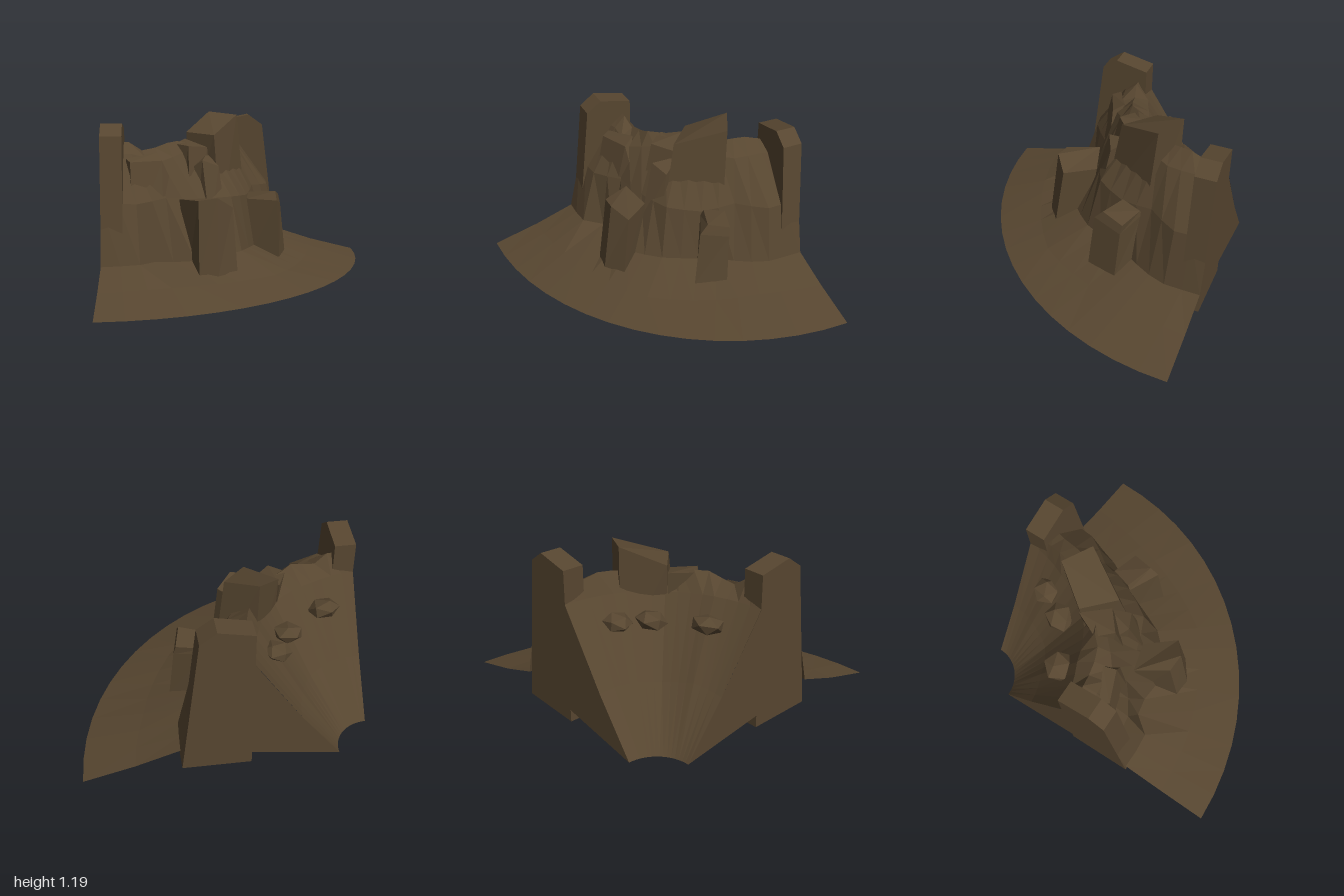
import * as THREE from 'three';

const rock = new THREE.MeshStandardMaterial({ color: 0x574630, flatShading: true, side: THREE.DoubleSide });
rock.name = 'brown rock';

const SEG = 16;

function buildGeometry(points, faces) {
  const g = new THREE.BufferGeometry();
  g.setAttribute('position', new THREE.Float32BufferAttribute(points.flat(), 3));
  g.setIndex(faces.flat());
  const flat = g.toNonIndexed();
  flat.computeVertexNormals();
  return flat;
}

// Linear lookup in a short list of values, t from 0 to 1
function sample(list, t) {
  const f = t * (list.length - 1);
  const i = Math.min(Math.floor(f), list.length - 2);
  return list[i] + (list[i + 1] - list[i]) * (f - i);
}

// Quarter-turn surface around the corner (-1, -1); each ring is [radii, heights] along the arc
function quarterSurface(rings) {
  const points = [], faces = [];
  for (const [radii, heights] of rings) {
    for (let j = 0; j <= SEG; j++) {
      const t = j / SEG, a = t * Math.PI / 2, r = sample(radii, t);
      points.push([-1 + r * Math.cos(a), sample(heights, t), -1 + r * Math.sin(a)]);
    }
  }
  const w = SEG + 1;
  for (let i = 0; i < rings.length - 1; i++) {
    for (let j = 0; j < SEG; j++) {
      const a = i * w + j, b = a + w;
      faces.push([a, a + 1, b], [a + 1, b + 1, b]);
    }
  }
  return buildGeometry(points, faces);
}

// Stone column, open underneath, through rings of [x, y, z] corners from the top down
function column(...rings) {
  const n = rings[0].length, last = (rings.length - 1) * n;
  const faces = [];
  for (let i = 0; i < n; i++) {
    const j = (i + 1) % n;
    for (let k = 0; k < last; k += n) {
      faces.push([k + i, k + i + n, k + j], [k + j, k + i + n, k + j + n]);
    }
    if (i > 0 && i < n - 1) faces.push([0, i, i + 1]);
  }
  return buildGeometry(rings.flat(), faces);
}

// Level ring of [x, z] corners at height y
const level = (y, corners) => corners.map(([x, z]) => [x, y, z]);

export function createModel() {
  const group = new THREE.Group();
  const add = (name, geometry) => {
    const mesh = new THREE.Mesh(geometry, rock);
    mesh.name = name;
    group.add(mesh);
    return mesh;
  };

  // Rings shared by neighbouring surfaces
  const rim = [[0.92, 0.91, 0.92, 0.93, 0.97, 1.0, 0.94, 0.98, 0.95, 0.95, 0.93],
    [0.95, 0.98, 1.02, 1.0, 0.97, 0.95, 1.0, 0.99, 0.93, 1.03, 0.97]];
  const foot = [[1.35, 1.35, 1.36, 1.35, 1.33, 1.31, 1.33, 1.36, 1.4, 1.41, 1.42, 1.37, 1.29, 1.27, 1.37, 1.36, 1.35],
    [0.19, 0.18, 0.19, 0.2, 0.21, 0.2, 0.18, 0.2, 0.19]];

  // Crater bowl, cliff wall and sloping skirt
  add('bowl', quarterSurface([
    [[0.26, 0.26], [0, 0]],
    [[0.54, 0.53, 0.55, 0.53, 0.54], [0.37, 0.39, 0.37, 0.4, 0.37]],
    [[0.87, 0.85, 0.88, 0.84, 0.87], [0.87, 0.88, 0.86, 0.88, 0.87]],
    rim,
  ]));
  add('cliff', quarterSurface([
    rim,
    [[1.05, 1.03, 1.06, 1.04, 1.08, 1.03, 1.08, 1.04, 1.05], [0.92, 0.93, 0.92, 0.94, 0.88, 0.92, 0.87, 0.93, 0.92]],
    [[1.25, 1.27, 1.2, 1.26, 1.3, 1.22, 1.17, 1.25, 1.25], [0.62, 0.6, 0.62, 0.58, 0.6, 0.6, 0.62, 0.6, 0.62]],
    foot,
  ]));
  add('skirt', quarterSurface([
    foot,
    [[1.65, 1.62, 1.66, 1.72, 1.68, 1.66, 1.65], [0.09, 0.1, 0.08, 0.08, 0.09, 0.1, 0.09]],
    [[2, 2], [0, 0]],
  ]));

  // Straight cut faces and end buttresses on the two sides
  const toShape = (corners) => new THREE.Shape(corners.map((p) => new THREE.Vector2(...p)));
  const cut = toShape([[-0.74, 0], [-0.12, 0.1], [-0.12, 0.88], [-0.46, 0.37]]);
  const slab = toShape([[-0.13, 0.01], [0.34, 0.02], [0.22, 1.07], [0.11, 1.15], [-0.13, 1.1]]);
  for (const side of ['back', 'right']) {
    const face = new THREE.ShapeGeometry(cut).translate(0, 0, side === 'back' ? -1 : 1);
    const buttress = new THREE.ExtrudeGeometry(slab, { depth: 0.15, bevelEnabled: false })
      .translate(0, 0, side === 'back' ? -1 : 0.85);
    if (side === 'right') [face, buttress].forEach((g) => g.rotateY(-Math.PI / 2));
    add(side + 'CutFace', face);
    add(side + 'Buttress', buttress);
  }

  // Stone columns rooted in the cliff
  add('tallCrag', column(
    [[-0.22, 1.19, -0.63], [-0.4, 1.05, -0.38], [-0.2, 1.04, -0.19], [-0.01, 1.17, -0.52]],
    level(0.35, [[-0.2, -0.62], [-0.38, -0.35], [-0.16, -0.08], [0.06, -0.47]])));
  add('frontPillar', column(
    [[-0.46, 0.61, 0.08], [-0.33, 0.63, 0.3], [-0.2, 0.65, 0.31], [-0.09, 0.57, 0.22], [-0.25, 0.56, 0.02]],
    level(0.11, [[-0.4, 0.13], [-0.33, 0.37], [-0.2, 0.38], [-0.06, 0.28], [-0.23, 0.07]])));
  add('sidePillar', column(
    [[0.11, 0.58, -0.46], [0.06, 0.6, -0.31], [0.26, 0.615, -0.24], [0.3, 0.57, -0.4]],
    [[0.1, 0.54, -0.47], [0.05, 0.55, -0.29], [0.265, 0.55, -0.18], [0.315, 0.5, -0.39]],
    level(0.13, [[0.12, -0.48], [0.08, -0.26], [0.28, -0.14], [0.35, -0.37]])));
  add('middleCrag', column(
    [[-0.25, 0.9, -0.25], [-0.38, 0.8, -0.12], [-0.29, 0.87, -0.06], [-0.17, 0.82, -0.12]],
    level(0.35, [[-0.22, -0.23], [-0.34, -0.08], [-0.24, 0.07], [-0.11, -0.04]])));
  add('leftCrag', column(
    [[-0.62, 0.93, -0.05], [-0.83, 0.9, 0.06], [-0.8, 0.88, 0.12], [-0.58, 0.88, 0.03], [-0.53, 0.77, 0.02]],
    level(0.35, [[-0.6, -0.04], [-0.82, 0.07], [-0.78, 0.24], [-0.57, 0.16], [-0.52, 0.06]])));
  add('ridgeCrag', column(
    [[-0.41, 1.0, -0.38], [-0.49, 0.98, -0.2], [-0.39, 0.97, -0.1], [-0.25, 0.95, -0.22]],
    level(0.35, [[-0.37, -0.35], [-0.46, -0.15], [-0.38, 0.04], [-0.2, -0.17]])));

  // Loose boulders resting in the bowl
  [[-0.33, 0.74, -0.74, 0.1], [-0.44, 0.73, -0.55, 0.11], [-0.74, 0.74, -0.34, 0.115]].forEach(([x, y, z, s], i) => {
    const stone = add('boulder' + (i + 1), new THREE.IcosahedronGeometry(s, 0));
    stone.position.set(x, y, z);
    stone.rotation.set(0.1 * i, 0.4 + i, 0.15);
    stone.scale.set(1, 0.6, 1);
  });

  // Small stones buried under the skirt
  [[0.55, -0.45], [0.42, -0.14], [0.15, 0.2], [-0.26, 0.55], [-0.63, 0.61]].forEach(([x, z], i) => {
    const stone = add('buriedStone' + (i + 1), new THREE.IcosahedronGeometry(0.045, 0));
    stone.position.set(x, 0.045, z);
    stone.rotation.set(i, i * 0.7, 0);
    stone.scale.y = 0.7;
  });

  return group;
}
